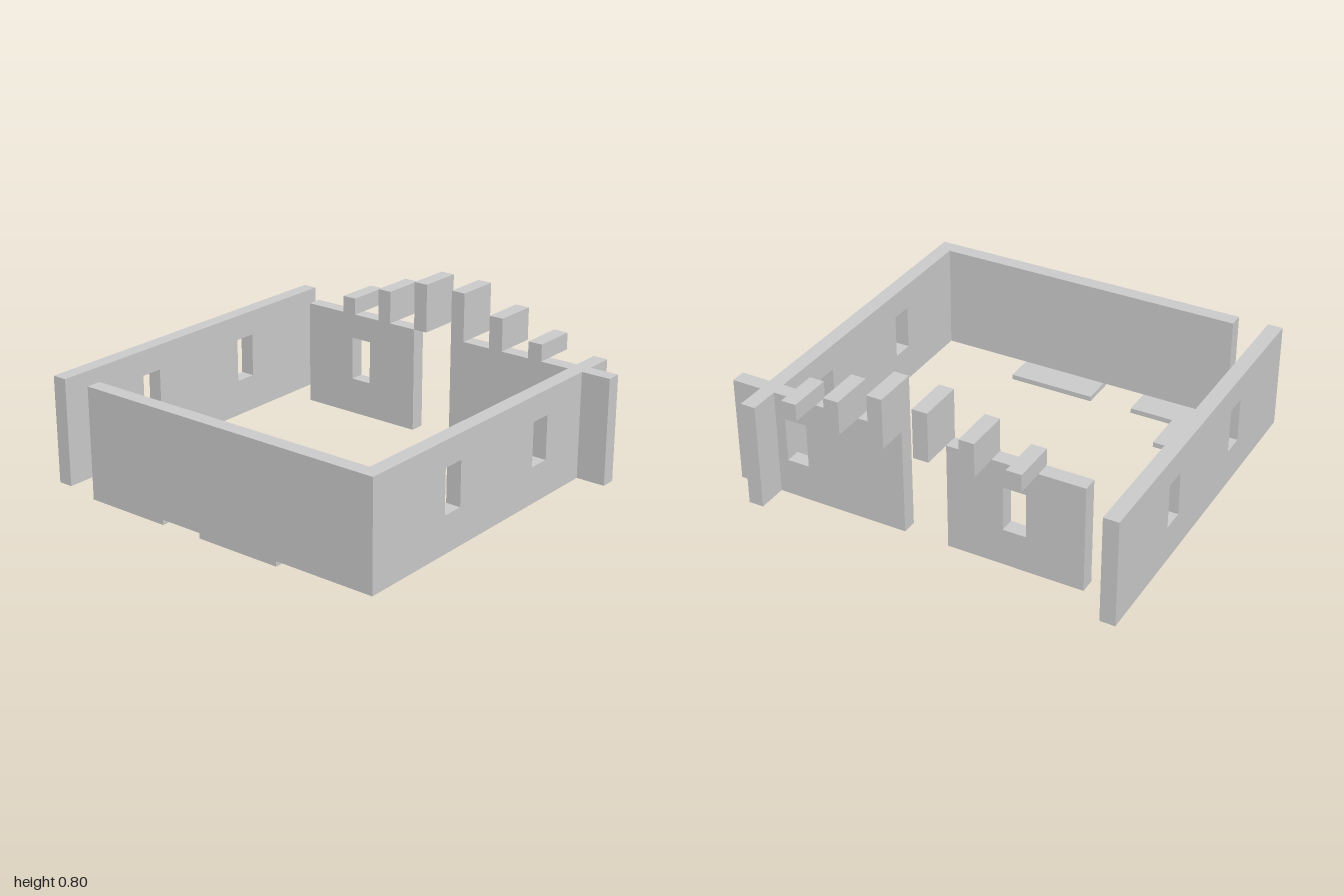
import * as THREE from 'three';

const material = new THREE.MeshStandardMaterial({ color: 0xcccccc, flatShading: true });
const T = 0.0741;                     // wall thickness
const BASE = 0.026, TOP = 0.556;      // wall bottom and top
const SILL = 0.21, HEAD = 0.43;       // window bottom and top

function outline(target, a0, b0, a1, b1) {
  target.moveTo(a0, b0);
  target.lineTo(a1, b0);
  target.lineTo(a1, b1);
  target.lineTo(a0, b1);
  target.closePath();
  return target;
}

function addMesh(group, name, geometry) {
  const mesh = new THREE.Mesh(geometry, material);
  mesh.name = name;
  group.add(mesh);
  return mesh;
}

// Upright wall running from a to b, with windows given as [start, end]
function wallGeometry(a, b, windows = []) {
  const shape = outline(new THREE.Shape(), a, BASE, b, TOP);
  for (const [w0, w1] of windows) shape.holes.push(outline(new THREE.Path(), w0, SILL, w1, HEAD));
  return new THREE.ExtrudeGeometry(shape, { depth: T, bevelEnabled: false });
}

// Wall along x whose back face is at z
function wallX(group, name, a, b, z, windows) {
  addMesh(group, name, wallGeometry(a, b, windows)).position.z = z;
}

// Wall along z whose left-hand (low x) face is at x
function wallZ(group, name, a, b, x, windows) {
  const geometry = wallGeometry(a, b, windows).rotateY(-Math.PI / 2);
  addMesh(group, name, geometry).position.x = x + T;
}

// Thin floor slab from plan points [x, z]
function slab(group, name, points) {
  const shape = new THREE.Shape(points.map(([x, z]) => new THREE.Vector2(x, -z)));
  const geometry = new THREE.ExtrudeGeometry(shape, { depth: BASE, bevelEnabled: false });
  addMesh(group, name, geometry.rotateX(-Math.PI / 2));
}

export function createModel() {
  const group = new THREE.Group();
  group.name = 'walledBuilding';

  // Outer walls
  const windows = [[-0.393, -0.281], [0.275, 0.387]];
  wallX(group, 'frontWall', -0.889, 0.889, 0.778, windows);
  wallX(group, 'backWall', -0.889, 0.889, -1, windows);
  wallZ(group, 'sideWall', -0.778, 0.778, -0.889);

  // Entrance wall, split by a doorway and projecting past the front wall
  wallZ(group, 'entranceWallFront', 0.111, 0.778, 0.667, [[0.615, 0.727]]);
  wallZ(group, 'entranceWallBack', -0.778, -0.111, 0.667, [[-0.498, -0.386]]);
  wallZ(group, 'entranceWallStub', 0.852, 1, 0.667);

  // Fins on top of the entrance wall, rising toward the doorway
  [0.084, 0.164, 0.244, 0.244, 0.164, 0.084].forEach((height, i) => {
    const fin = addMesh(group, 'fin', new THREE.BoxGeometry(0.222, height, T));
    fin.position.set(0.778, TOP + height / 2, 0.5926 - i * 0.2222);
  });

  // Floor slabs beneath the side wall
  slab(group, 'cornerSlab', [
    [-0.889, -0.333], [-0.667, -0.333], [-0.667, -0.556],
    [-0.444, -0.556], [-0.444, -0.778], [-0.889, -0.778],
  ]);
  slab(group, 'sideSlab', [
    [-0.889, 0.333], [-0.667, 0.333], [-0.667, -0.111], [-0.889, -0.111],
  ]);

  return group;
}
